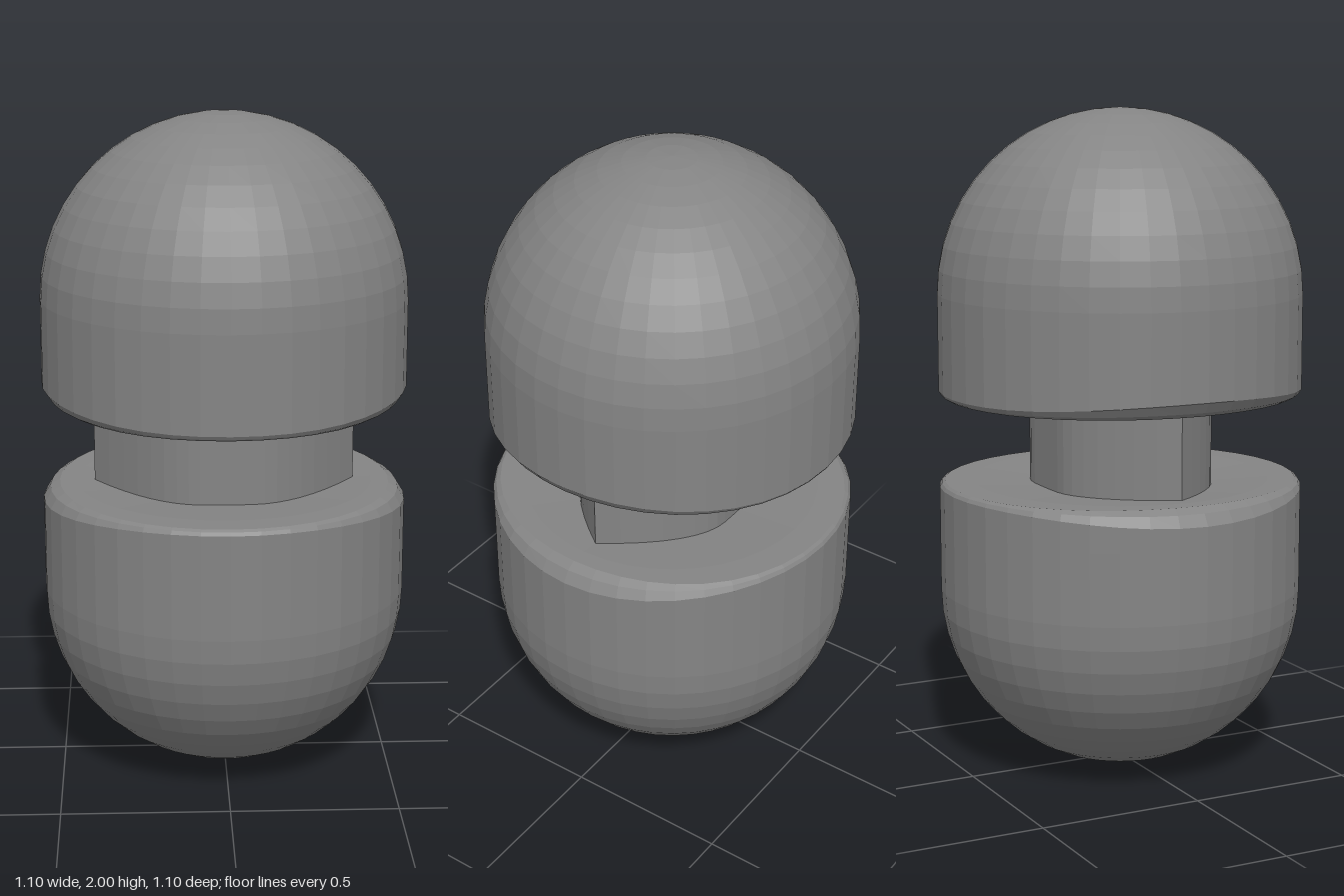
import * as THREE from 'three';

const material = new THREE.MeshStandardMaterial({ color: 0x848484, flatShading: true });
const R = 0.551, LOWER_RIM = 0.885, UPPER_RIM = 1.14;

// Domed half with a slightly dished face; y is the distance from the dome's tip
function domeHalf(name, height, bevel) {
  const points = [];
  for (let i = 0; i <= 12; i++) {
    const a = (i / 12) * Math.PI / 2;
    points.push(new THREE.Vector2(R * Math.sin(a), R - R * Math.cos(a)));
  }
  const rings = [ // radius, drop below the rim, extra drop and inset at the sides
    [R, 0.12, 0, 0],
    [R, 0.018, bevel, 0],
    [R - 0.006, 0.008, bevel * 0.3, 0.015],
    [R - 0.015, 0.002, 0, 0.035],
    [0.45, 0.002, 0, 0],
    [0, 0.035, 0, 0],
  ];
  const first = points.length;
  for (const [r, drop] of rings) points.push(new THREE.Vector2(r, height - drop));
  const geometry = new THREE.LatheGeometry(points, 40);

  // The soft bevel widens towards the two sides
  const p = geometry.attributes.position;
  for (let i = 0; i < p.count; i++) {
    const ring = rings[(i % points.length) - first];
    if (!ring || ring[0] === 0) continue;
    const x = p.getX(i), z = p.getZ(i);
    const side = Math.pow(Math.abs(x) / ring[0], 3);
    const s = 1 - (ring[3] / ring[0]) * side;
    p.setXYZ(i, x * s, p.getY(i) - ring[2] * side, z * s);
  }
  geometry.computeVertexNormals();
  const mesh = new THREE.Mesh(geometry, material);
  mesh.name = name;
  return mesh;
}

// Post with flat front and back, rounded shoulders and pointed ends
function corePost() {
  const shape = new THREE.Shape();
  shape.moveTo(0.395, 0);
  shape.quadraticCurveTo(0.21, 0.25, 0.08, 0.25);
  shape.lineTo(-0.08, 0.25);
  shape.quadraticCurveTo(-0.21, 0.25, -0.395, 0);
  shape.quadraticCurveTo(-0.21, -0.25, -0.08, -0.25);
  shape.lineTo(0.08, -0.25);
  shape.quadraticCurveTo(0.21, -0.25, 0.395, 0);
  const geometry = new THREE.ExtrudeGeometry(shape, {
    depth: UPPER_RIM - LOWER_RIM + 0.1, bevelEnabled: false, curveSegments: 8 });
  geometry.rotateX(-Math.PI / 2);
  geometry.translate(0, LOWER_RIM - 0.05, 0);
  const mesh = new THREE.Mesh(geometry, material);
  mesh.name = 'corePost';
  return mesh;
}

export function createModel() {
  const group = new THREE.Group();
  group.name = 'capsule';
  const lower = domeHalf('lowerDome', LOWER_RIM, 0.035);
  const upper = domeHalf('upperDome', 2 - UPPER_RIM, 0.03);
  upper.rotation.x = Math.PI; // turned over so the dome points up
  upper.position.y = 2;
  group.add(lower, corePost(), upper);
  return group;
}
